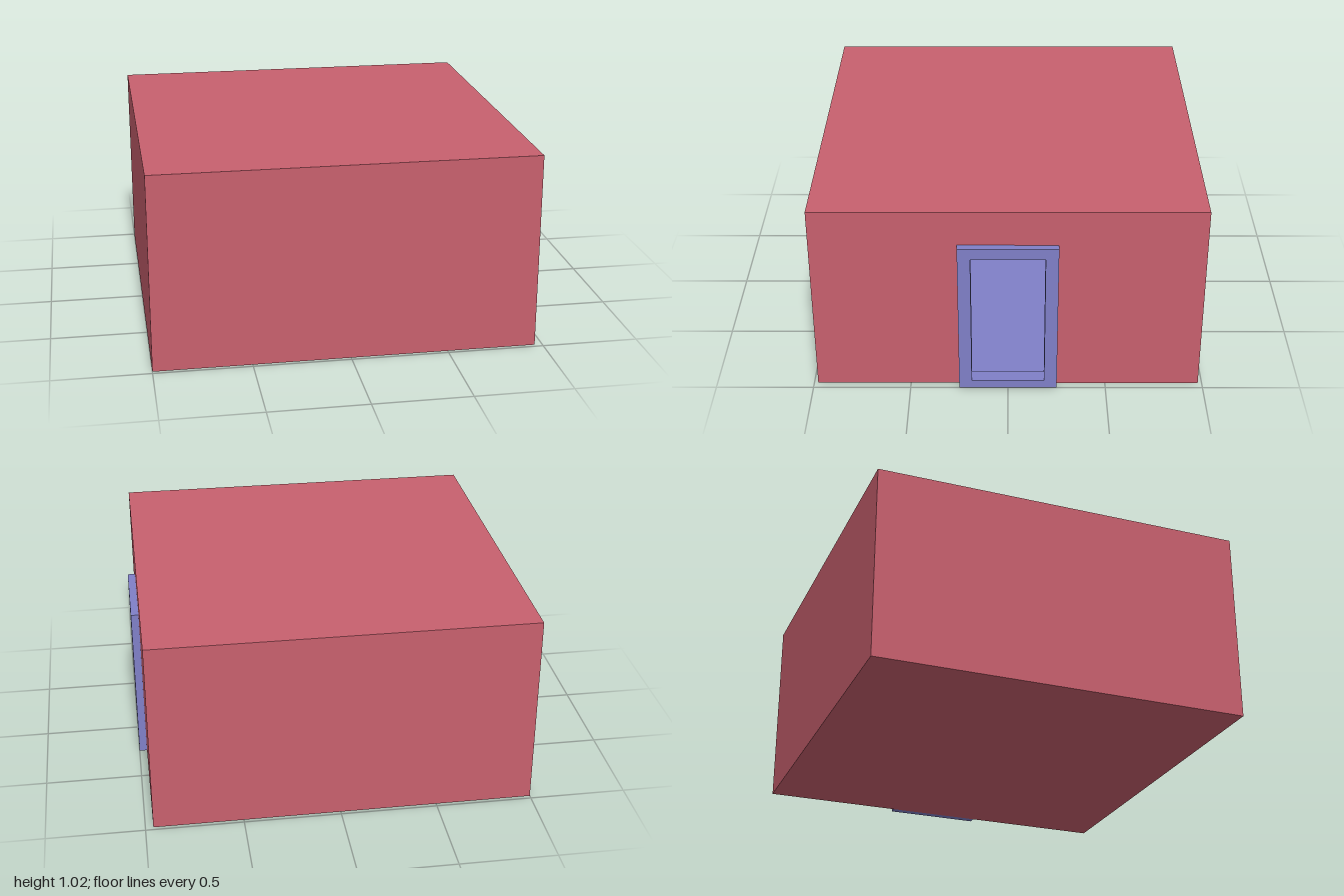
import * as THREE from 'three';

const H = 1.02, OUT = 0.96, IN = 0.92, FRONT = 1; // height, wall faces, frame face
const DOOR = { w: 0.37, y0: 0.045, y1: 0.775 };

// Rectangle in the wall plane, with the doorway cut out
function wallShape(width, y0, y1) {
  const rect = (Kind, w, a, b) => {
    const p = new Kind();
    p.moveTo(-w / 2, a).lineTo(w / 2, a).lineTo(w / 2, b).lineTo(-w / 2, b).closePath();
    return p;
  };
  const shape = rect(THREE.Shape, width, y0, y1);
  shape.holes.push(rect(THREE.Path, DOOR.w, DOOR.y0, DOOR.y1));
  return shape;
}

// Box between two x positions, keeping only faces from..to (order +x -x +y -y +z -z)
function partialBox(x0, x1, y0, y1, width, from, to) {
  const g = new THREE.BoxGeometry(x1 - x0, y1 - y0, width);
  g.setIndex(Array.from(g.index.array).slice(from * 6, to * 6));
  g.clearGroups();
  return g.translate((x0 + x1) / 2, (y0 + y1) / 2, 0);
}

export function createModel() {
  const group = new THREE.Group();
  const red = new THREE.MeshStandardMaterial({ color: 0xc8606e });
  const blue = new THREE.MeshStandardMaterial({ color: 0x8080c8 });
  const blueInside = new THREE.MeshStandardMaterial({ color: 0x8080c8, side: THREE.BackSide });

  const add = (name, geometry, material) => {
    const mesh = new THREE.Mesh(geometry, material);
    mesh.name = name;
    group.add(mesh);
  };
  const doorWall = (width, y0, y1, x) =>
    new THREE.ShapeGeometry(wallShape(width, y0, y1)).rotateY(Math.PI / 2).translate(x, 0, 0);

  // Outside of the building
  add('outerShell', partialBox(-1, OUT, 0, H, 1.96, 1, 6), red);
  add('outerDoorWall', doorWall(1.96, 0, H, OUT), red);

  // Hollow room, seen from within
  add('roomInterior', partialBox(-0.96, IN, 0.04, 0.98, 1.88, 1, 6), blueInside);
  add('innerDoorWall', doorWall(1.88, 0.04, 0.98, IN), blueInside);

  // Doorway through the wall thickness
  add('doorReveal', partialBox(IN, OUT, DOOR.y0, DOOR.y1, DOOR.w, 2, 6), blueInside);

  // Raised frame around the doorway
  const frame = new THREE.ExtrudeGeometry(wallShape(0.5, 0, 0.835), { depth: FRONT - OUT, bevelEnabled: false });
  add('doorFrame', frame.rotateY(Math.PI / 2).translate(OUT, 0, 0), blue);

  return group;
}
